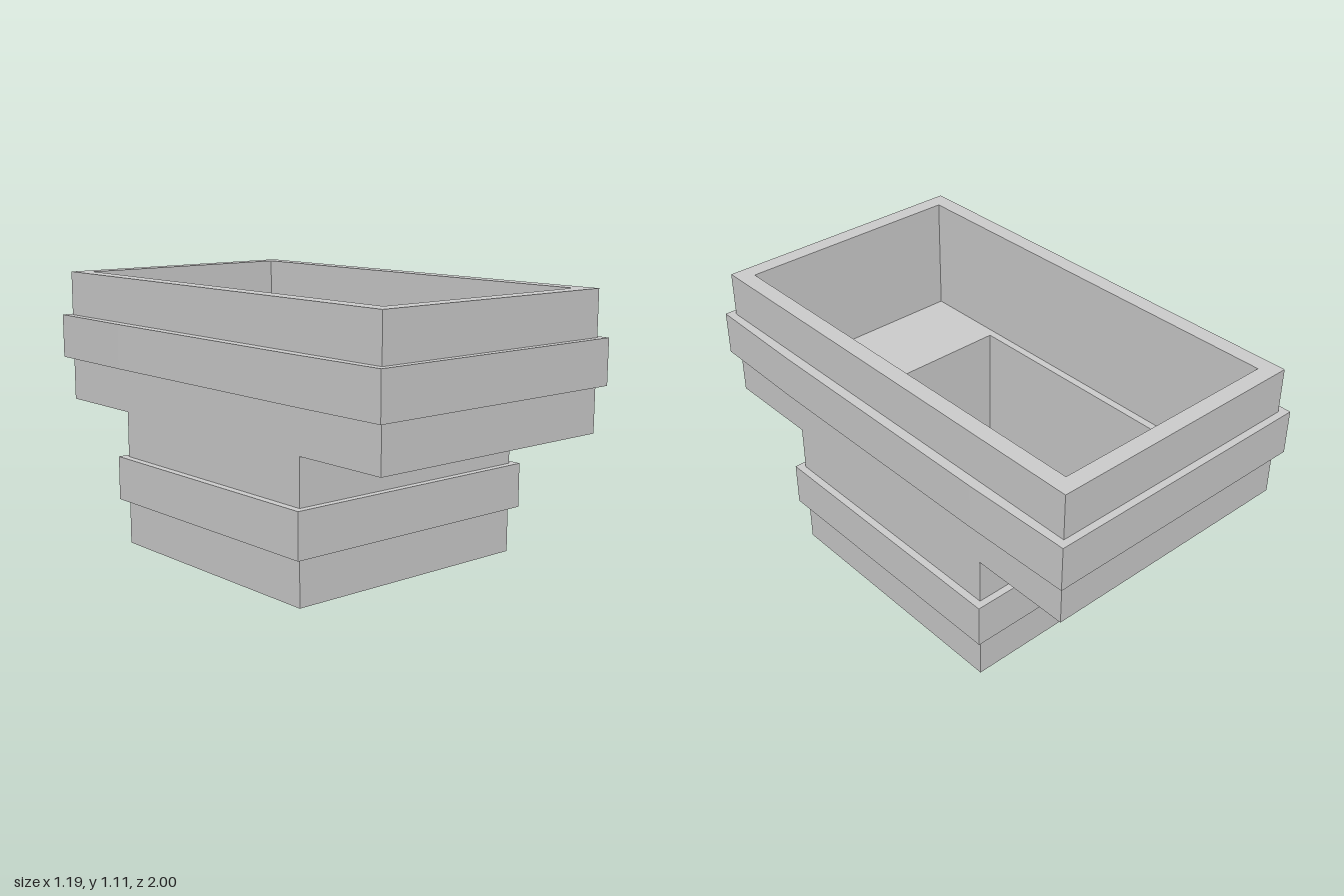
import * as THREE from 'three';

const grey = new THREE.MeshStandardMaterial({ color: 0xcccccc });
grey.name = 'plain grey';

// Corner points of a rectangle with half sizes x and z
const rect = (x, z) => [[-x, -z], [x, -z], [x, z], [-x, z]].map(([a, b]) => new THREE.Vector2(a, b));

// Upright slab from y0 to y1 with an outline and an optional hole
function slab(name, outline, hole, y0, y1) {
  const shape = new THREE.Shape(outline);
  if (hole) shape.holes.push(new THREE.Path(hole));
  const geometry = new THREE.ExtrudeGeometry(shape, { depth: y1 - y0, bevelEnabled: false });
  geometry.rotateX(-Math.PI / 2);
  geometry.translate(0, y0, 0);
  const mesh = new THREE.Mesh(geometry, grey);
  mesh.name = name;
  return mesh;
}

export function createModel() {
  const model = new THREE.Group();
  model.name = 'steppedPlanter';

  const base = rect(0.553, 0.553);
  const tub = rect(0.553, 0.97);
  const pit = rect(0.452, 0.522);

  // Upper band bulges very slightly along its long sides
  const upperBand = [
    [-0.585, -1], [0.585, -1], [0.594, -0.55], [0.594, 0.55],
    [0.585, 1], [-0.585, 1], [-0.594, 0.55], [-0.594, -0.55],
  ].map(([x, z]) => new THREE.Vector2(x, z));

  model.add(
    // Narrow base with its deep pit
    slab('baseFloor', base, null, 0, 0.06),
    slab('baseWalls', base, pit, 0.06, 0.558),
    slab('baseBand', rect(0.584, 0.582), base, 0.188, 0.37),
    // Long open tub on top, with a ledge around the pit
    slab('tubLedge', tub, pit, 0.558, 0.62),
    slab('tubWalls', tub, rect(0.485, 0.902), 0.62, 1.11),
    slab('tubBand', upperBand, tub, 0.742, 0.925),
  );
  return model;
}
